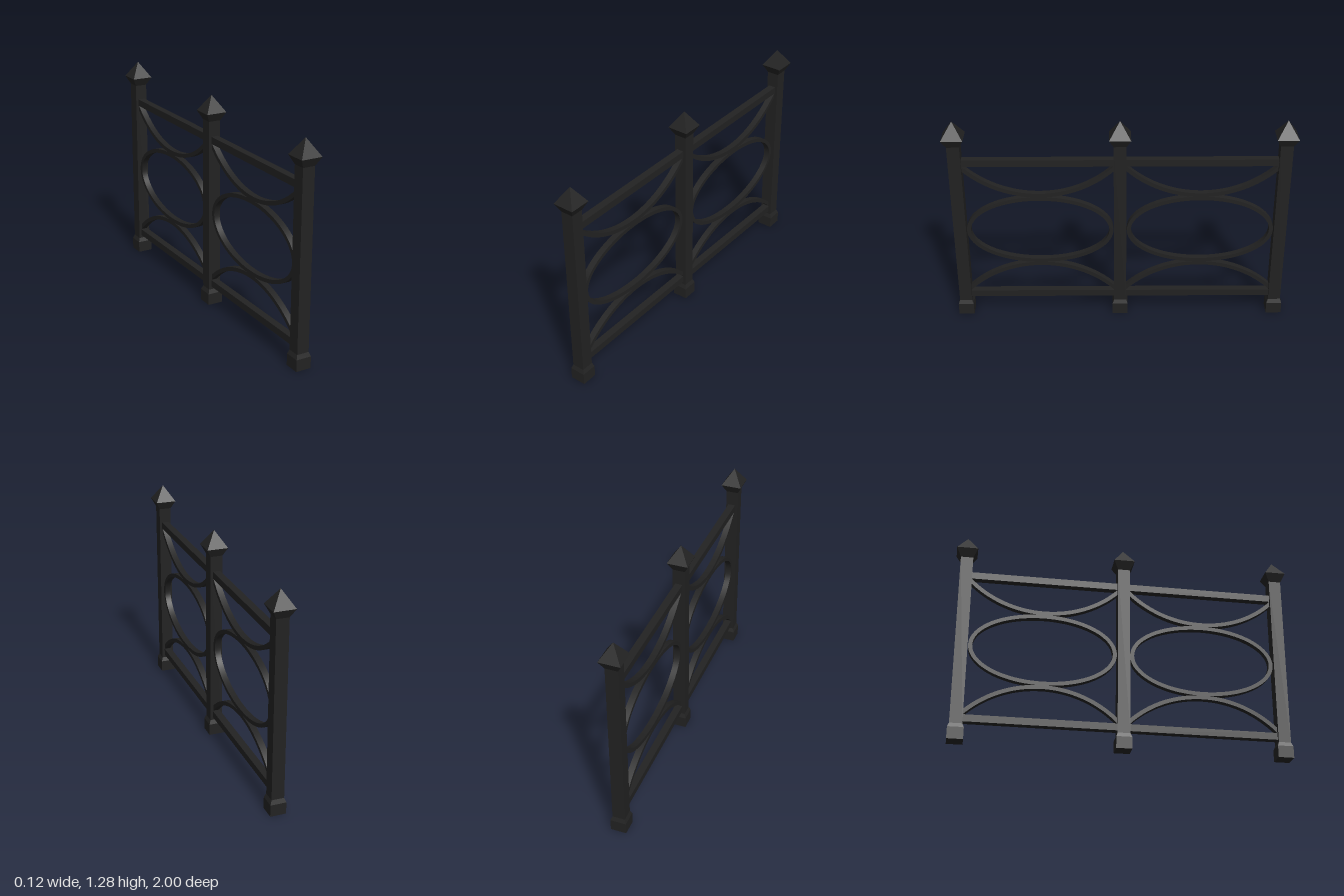
import * as THREE from 'three';
import { toCreasedNormals } from 'three/addons/utils/BufferGeometryUtils.js';

const POST_Z = 0.938;   // distance between posts
const MID_Y = 0.583;    // height of the oval centres
const BAND = 0.024;     // thickness of the bent strips
const DEPTH = 0.036;    // strip width across the fence

// Strip outline drawn in the XY plane, extruded and turned to lie along z
function stripGeometry(shape) {
  const geo = new THREE.ExtrudeGeometry(shape, { depth: DEPTH, bevelEnabled: false, curveSegments: 40 });
  geo.translate(0, 0, -DEPTH / 2);
  geo.rotateY(Math.PI / 2);
  return toCreasedNormals(geo, 0.6);
}

function ovalGeometry() {
  const a = 0.43, b = 0.224;
  const shape = new THREE.Shape().absellipse(0, 0, a, b, 0, Math.PI * 2, false, 0);
  shape.holes.push(new THREE.Path().absellipse(0, 0, a - BAND, b - BAND, 0, Math.PI * 2, true, 0));
  return stripGeometry(shape);
}

// Circular bow whose lowest point is at the origin
function bowGeometry() {
  const r = 0.634, spread = 0.8, mid = -Math.PI / 2;
  const shape = new THREE.Shape();
  shape.absarc(0, r, r, mid - spread, mid + spread, false);
  shape.absarc(0, r, r - BAND, mid + spread, mid - spread, true);
  shape.closePath();
  return stripGeometry(shape);
}

// Square post: wide foot, shaft, flared cap and pyramid tip
function postGeometry() {
  const profile = [[0, 0], [0.046, 0], [0.046, 0.07], [0.0365, 0.095], [0.0365, 1.14], [0.062, 1.19], [0, 1.285]];
  const points = profile.map(([x, y]) => new THREE.Vector2(x * Math.SQRT2, y));
  return new THREE.LatheGeometry(points, 4, Math.PI / 4);
}

export function createModel() {
  const fence = new THREE.Group();
  fence.name = 'fence';
  const flat = new THREE.MeshStandardMaterial({ color: 0x222222, flatShading: true });
  const smooth = new THREE.MeshStandardMaterial({ color: 0x222222 });

  const add = (parent, name, geo, mat, y, z) => {
    const mesh = new THREE.Mesh(geo, mat);
    mesh.name = name;
    mesh.position.set(0, y, z);
    parent.add(mesh);
    return mesh;
  };

  // Posts
  const post = postGeometry();
  [['backPost', -1], ['middlePost', 0], ['frontPost', 1]].forEach(([name, i]) => add(fence, name, post, flat, 0, i * POST_Z));

  // Panels between the posts
  const rail = new THREE.BoxGeometry(0.043, 0.042, POST_Z - 0.06);
  const oval = ovalGeometry();
  const bow = bowGeometry();
  for (const [name, side] of [['backPanel', -1], ['frontPanel', 1]]) {
    const panel = new THREE.Group();
    panel.name = name;
    panel.position.z = side * POST_Z / 2;
    add(panel, 'topRail', rail, flat, 1.029, 0);
    add(panel, 'bottomRail', rail, flat, 0.134, 0);
    add(panel, 'oval', oval, smooth, MID_Y, 0);
    add(panel, 'upperBow', bow, smooth, MID_Y + 0.222, 0);
    add(panel, 'lowerBow', bow, smooth, MID_Y - 0.222, 0).rotation.x = Math.PI;
    fence.add(panel);
  }
  return fence;
}
